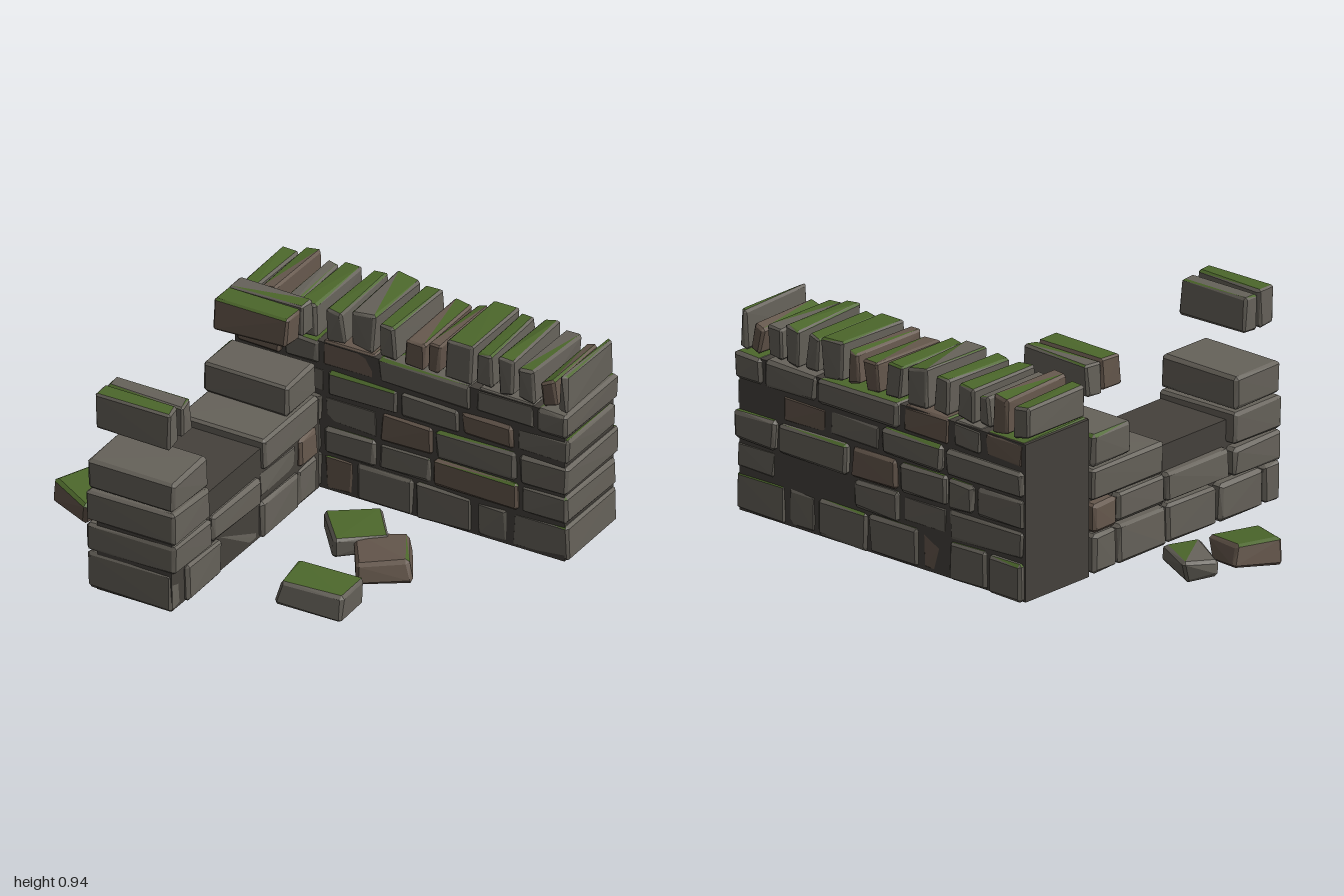
import * as THREE from 'three';
import { ConvexGeometry } from 'three/addons/geometries/ConvexGeometry.js';

// small seeded generator for hand-cut irregularity
let seed = 7;
const rnd = () => {
  seed = (seed * 16807) % 2147483647;
  return seed / 2147483647;
};
const jit = (a) => (rnd() * 2 - 1) * a;

const mat = (color) => new THREE.MeshStandardMaterial({ color, flatShading: true });
const mats = { grey: mat(0x66625a), brown: mat(0x66584d), moss: mat(0x4c672b), core: mat(0x45413c) };

// chamfered, slightly irregular block; moss = chance that an upward facet is mossy
function stone(name, [w, h, d], { moss = 0, bevel = 0.014, rough = 0.006 } = {}) {
  const pts = [];
  for (const x of [-1, 1]) for (const y of [-1, 1]) for (const z of [-1, 1]) {
    const p = [x * (w / 2 - rnd() * rough), y * (h / 2 - rnd() * rough), z * (d / 2 - rnd() * rough)];
    for (let keep = 0; keep < 3; keep++) {
      const b = bevel * (0.6 + rnd() * 0.6);
      const q = [x, y, z].map((s, i) => p[i] - (i === keep ? 0 : s * b));
      pts.push(new THREE.Vector3(...q));
    }
  }
  const src = new ConvexGeometry(pts);
  const pos = src.attributes.position, nor = src.attributes.normal;
  const plain = [], green = [];
  for (let i = 0; i < pos.count; i += 3) {
    const list = nor.getY(i) > 0.75 && rnd() < moss ? green : plain;
    for (let k = i; k < i + 3; k++) list.push(pos.getX(k), pos.getY(k), pos.getZ(k));
  }
  const geo = new THREE.BufferGeometry();
  geo.setAttribute('position', new THREE.Float32BufferAttribute([...plain, ...green], 3));
  geo.computeVertexNormals();
  geo.addGroup(0, plain.length / 3, 0);
  if (green.length) geo.addGroup(plain.length / 3, green.length / 3, 1);
  const mesh = new THREE.Mesh(geo, [rnd() < 0.25 ? mats.brown : mats.grey, mats.moss]);
  mesh.name = name;
  return mesh;
}

// stone filling the box between two corners
function stoneBetween(name, a, b, opts) {
  const m = stone(name, a.map((v, i) => b[i] - v), opts);
  m.position.set(...a.map((v, i) => (v + b[i]) / 2));
  return m;
}

function coreBox(name, a, b) {
  const m = new THREE.Mesh(new THREE.BoxGeometry(...a.map((v, i) => b[i] - v)), mats.core);
  m.position.set(...a.map((v, i) => (v + b[i]) / 2));
  m.name = name;
  return m;
}

const GAP = 0.004;

function backWall() {
  const g = new THREE.Group();
  g.name = 'backWall';
  g.add(coreBox('backWallCore', [-0.52, 0.06, -0.735], [0.98, 0.72, -0.365]));
  const levels = [0.055, 0.225, 0.355, 0.49, 0.61, 0.73];
  const joints = [
    [-0.515, -0.33, -0.12, 0.03, 0.3, 0.57, 0.73, 1],
    [-0.515, -0.12, 0.13, 0.38, 0.78, 1],
    [-0.515, -0.26, -0.12, 0.14, 0.39, 0.77, 1],
    [-0.515, -0.1, 0.23, 0.51, 0.755, 1],
    [-0.515, -0.3, -0.13, 0.125, 0.565, 0.85, 1],
  ];
  joints.forEach((row, r) => {
    for (let i = 0; i < row.length - 1; i++) {
      const last = i === row.length - 2;
      g.add(stoneBetween('wallStone',
        [row[i] + (i ? GAP : 0), levels[r] + GAP / 2, -0.75 + jit(0.015)],
        [row[i + 1] - (last ? 0 : GAP), levels[r + 1] - GAP / 2, -0.35 + jit(0.01)],
        { moss: 0.5, rough: 0.008 }));
    }
  });
  // upright coping stones: left, right, top, lean
  const caps = [
    [-0.52, -0.43, 0.87, 0], [-0.42, -0.33, 0.89, 0.03], [-0.32, -0.25, 0.86, -0.04],
    [-0.24, -0.14, 0.88, 0.02], [-0.115, -0.02, 0.885, 0.03], [-0.01, 0.11, 0.9, -0.05],
    [0.13, 0.22, 0.885, 0.04], [0.25, 0.345, 0.86, -0.05], [0.355, 0.425, 0.875, -0.1],
    [0.43, 0.56, 0.9, -0.03], [0.565, 0.645, 0.885, 0.04], [0.67, 0.755, 0.9, 0.06],
    [0.755, 0.85, 0.875, 0.04], [0.865, 0.94, 0.855, 0.12], [0.95, 1, 0.9, 0],
  ];
  for (const [l, r, top, lean] of caps) {
    const m = stoneBetween('copingStone', [l, 0.725, -0.735 + jit(0.01)], [r, top, -0.36 + jit(0.008)],
      { moss: 0.65, bevel: 0.01, rough: 0.015 });
    m.rotation.z = lean;
    g.add(m);
  }
  return g;
}

function sideWall() {
  const g = new THREE.Group();
  g.name = 'sideWall';
  g.add(coreBox('sideWallCore', [-0.475, 0.06, -0.36], [-0.135, 0.46, 0.755]));
  // courses: bottom, top, then runs of joints along z
  const courses = [
    [0.055, 0.225, [[-0.34, -0.19, 0.1, 0.4, 0.665, 0.765]]],
    [0.225, 0.355, [[-0.34, -0.19, 0.1, 0.475, 0.765]]],
    [0.355, 0.5, [[-0.34, 0.09], [0.48, 0.765]]],
    [0.5, 0.645, [[-0.34, -0.1], [0.49, 0.765]]],
  ];
  for (const [y0, y1, runs] of courses) for (const run of runs) {
    for (let i = 0; i < run.length - 1; i++) {
      g.add(stoneBetween('wallStone',
        [-0.522 + jit(0.012), y0 + GAP / 2, run[i] + GAP],
        [-0.122 + jit(0.012), y1 - GAP / 2, run[i + 1] - (run[i + 1] > 0.76 ? 0 : GAP)],
        { moss: y0 > 0.45 ? 0.1 : 0 }));
    }
  }
  // raised coping stones over the two stepped ends
  for (const [z0, z1, top, lean] of [
    [-0.34, -0.25, 0.93, 0], [-0.245, -0.125, 0.93, -0.06],
    [0.575, 0.665, 0.945, 0.08], [0.67, 0.765, 0.955, 0],
  ]) {
    const m = stoneBetween('raisedCopingStone', [-0.49, 0.785, z0], [-0.14, top, z1],
      { moss: 0.6, bevel: 0.01, rough: 0.012 });
    m.rotation.x = lean;
    g.add(m);
  }
  return g;
}

function fallenStones() {
  const g = new THREE.Group();
  g.name = 'fallenStones';
  // position, size, turn, tilt x, tilt z, moss
  const rocks = [
    [[-0.71, 0.07, 0.025], [0.29, 0.11, 0.175], -0.51, 0.05, -0.04, 0.15],
    [[-0.845, 0.1, 0.2], [0.235, 0.12, 0.235], -0.35, 0.05, -0.12, 1],
    [[0.2, 0.105, -0.07], [0.25, 0.12, 0.235], 0.7, 0.05, -0.1, 1],
    [[0.395, 0.1, 0.035], [0.32, 0.12, 0.235], -1.03, 0.08, 0.16, 0.5],
    [[0.32, 0.1, 0.385], [0.3, 0.13, 0.25], 0.13, -0.12, -0.05, 0.9],
  ];
  for (const [p, s, turn, tx, tz, moss] of rocks) {
    const m = stone('fallenStone', s, { moss, bevel: 0.014, rough: 0.025 });
    m.position.set(...p);
    m.rotation.set(tx, turn, tz, 'YXZ');
    g.add(m);
  }
  return g;
}

export function createModel() {
  seed = 7;
  const model = new THREE.Group();
  model.name = 'ruinedStoneWall';
  model.add(backWall(), sideWall(), fallenStones());
  return model;
}
